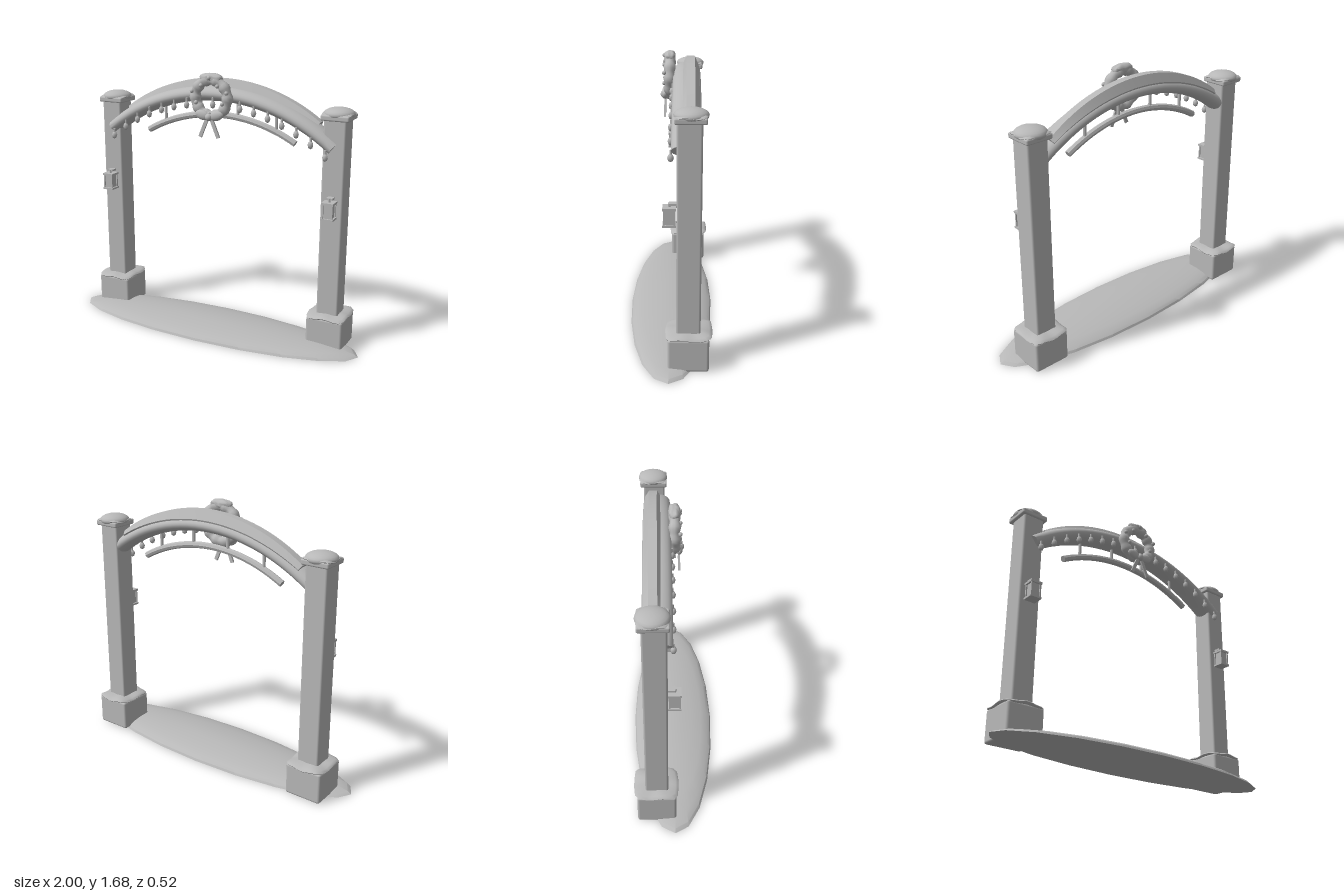
import * as THREE from 'three';
import { toCreasedNormals } from 'three/addons/utils/BufferGeometryUtils.js';
import { RoundedBoxGeometry } from 'three/addons/geometries/RoundedBoxGeometry.js';

const grey = new THREE.MeshStandardMaterial({ color: 0xb8b8b8 });
grey.name = 'plainGrey';

const ARCH_Y = 0.3; // centre height of the beam's circle

function add(parent, name, geometry, x = 0, y = 0, z = 0) {
  const mesh = new THREE.Mesh(geometry, grey);
  mesh.name = name;
  mesh.position.set(x, y, z);
  parent.add(mesh);
  return mesh;
}

// Capped bar bent along a circle in the xy plane; height may taper to the ends
function archBar(R, halfAngle, hy, hz, sides, taper = 1) {
  const g = new THREE.CylinderGeometry(1, 1, 2, sides, 28);
  const p = g.attributes.position;
  for (let i = 0; i < p.count; i++) {
    const t = p.getY(i), a = t * halfAngle;
    const r = R + p.getX(i) * hy * (1 - (1 - taper) * t * t);
    p.setXYZ(i, r * Math.sin(a), r * Math.cos(a), -p.getZ(i) * hz);
  }
  return toCreasedNormals(g, 0.6);
}

// Snow pillow: a squashed ball pushed towards a square outline with a wavy rim
function pillow(hx, hy, hz, square, wave) {
  const g = new THREE.SphereGeometry(1, 28, 12);
  const p = g.attributes.position;
  for (let i = 0; i < p.count; i++) {
    const x = p.getX(i), y = p.getY(i), z = p.getZ(i);
    const a = Math.atan2(z, x);
    const m = Math.max(Math.abs(Math.cos(a)), Math.abs(Math.sin(a)));
    const k = 1 + square * (1 / m - 1);
    const drop = wave * Math.sin(a * 5) * (x * x + z * z);
    p.setXYZ(i, x * k * hx, y * hy + drop, z * k * hz);
  }
  return toCreasedNormals(g, 1);
}

function lantern() {
  const g = new THREE.Group();
  g.name = 'lantern';
  add(g, 'lanternBase', new THREE.BoxGeometry(0.075, 0.012, 0.075), 0, 0.856);
  add(g, 'lanternGlass', new THREE.BoxGeometry(0.052, 0.09, 0.052), 0, 0.905);
  for (const x of [-0.029, 0.029]) for (const z of [-0.029, 0.029])
    add(g, 'lanternFrame', new THREE.BoxGeometry(0.009, 0.09, 0.009), x, 0.905, z);
  add(g, 'lanternRoof', new THREE.BoxGeometry(0.075, 0.014, 0.075), 0, 0.953);
  add(g, 'lanternHanger', new THREE.CylinderGeometry(0.008, 0.008, 0.025, 8), 0, 0.968);
  add(g, 'lanternBracket', new THREE.BoxGeometry(0.04, 0.012, 0.05), 0, 0.977, -0.022);
  return g;
}

function post(side) {
  const g = new THREE.Group();
  g.name = side > 0 ? 'leftPost' : 'rightPost';
  g.position.x = side * 0.78;
  add(g, 'postBase', new RoundedBoxGeometry(0.235, 0.2, 0.235, 2, 0.015), 0, 0.105, -0.11);
  add(g, 'baseSnow', pillow(0.128, 0.022, 0.135, 0.75, 0.006), 0, 0.207, -0.113);
  add(g, 'postShaft', new RoundedBoxGeometry(0.138, 1.25, 0.138, 2, 0.012), 0, 0.82, -0.11);
  add(g, 'postCap', new RoundedBoxGeometry(0.175, 0.035, 0.175, 2, 0.01), 0, 1.452, -0.115);
  add(g, 'capSnowRim', pillow(0.094, 0.016, 0.09, 0.7, 0.005), 0, 1.468, -0.118);
  add(g, 'capSnow', pillow(0.095, 0.04, 0.095, 0, 0), 0, 1.469, -0.118);
  const l = lantern();
  l.position.z = -0.002;
  g.add(l);
  return g;
}

function wreath() {
  const g = new THREE.Group();
  g.name = 'wreath';
  g.position.set(0, 1.525, 0.01);
  // Lumpy ring
  const ring = new THREE.TorusGeometry(0.11, 0.033, 10, 48);
  const p = ring.attributes.position, c = new THREE.Vector3(), v = new THREE.Vector3();
  for (let i = 0; i < p.count; i++) {
    v.fromBufferAttribute(p, i);
    const a = Math.atan2(v.y, v.x);
    c.set(Math.cos(a) * 0.11, Math.sin(a) * 0.11, 0);
    v.sub(c).multiplyScalar(1 + 0.13 * Math.cos(a * 10)).add(c);
    p.setXYZ(i, v.x, v.y, v.z);
  }
  add(g, 'wreathRing', toCreasedNormals(ring, 1));
  add(g, 'wreathSnow', pillow(0.078, 0.03, 0.035, 0.3, 0.005), 0, 0.122, 0);
  // Berries on the front of the ring
  for (let i = 0; i < 10; i++) {
    const a = (i + 0.5) * Math.PI / 5, r = i % 2 ? 0.095 : 0.125;
    add(g, 'berry', new THREE.SphereGeometry(0.013, 10, 8), Math.cos(a) * r, Math.sin(a) * r, 0.032);
  }
  // Bow with two loops, a knot and two tails
  for (const s of [-1, 1]) {
    const loop = add(g, 'bowLoop', new THREE.SphereGeometry(1, 16, 10), s * 0.047, -0.105, 0.028);
    loop.scale.set(0.05, 0.03, 0.02);
    loop.rotation.z = s * 0.25;
    const tail = add(g, 'bowTail', new THREE.BoxGeometry(0.022, 0.13, 0.012), s * 0.038, -0.182, 0.028);
    tail.rotation.z = s * 0.4;
  }
  add(g, 'bowKnot', new THREE.SphereGeometry(0.024, 14, 10), 0, -0.115, 0.034);
  return g;
}

export function createModel() {
  const model = new THREE.Group();
  model.name = 'winterArchway';

  // Low oval snow mound
  const profile = [[0, 0], [1, 0], [0.975, 0.014], [0.9, 0.028], [0.75, 0.042], [0.5, 0.055], [0.25, 0.063], [0, 0.066]];
  const mound = new THREE.LatheGeometry(profile.map(([x, y]) => new THREE.Vector2(x, y)), 20);
  add(model, 'snowMound', toCreasedNormals(mound.scale(1, 1, 0.262), 0.5));

  const gate = new THREE.Group();
  gate.name = 'gate';
  gate.position.x = -0.008;
  model.add(gate);
  gate.add(post(-1), post(1));

  // Curved beam with its ridge of snow
  add(gate, 'archBeam', archBar(1.24, 0.672, 0.047, 0.083, 24), 0, ARCH_Y, -0.093);
  add(gate, 'beamSnow', archBar(1.275, 0.545, 0.065, 0.05, 6, 0.45), 0, ARCH_Y, -0.117);

  // Lower rail and its struts
  const railR = 1.036, railY = 1.405 - railR;
  add(gate, 'lowerRail', archBar(railR, 0.522, 0.021, 0.021, 8), 0, railY, -0.1);
  for (const x of [-0.39, -0.13, 0.13, 0.39]) {
    const y0 = railY + Math.sqrt(railR ** 2 - x * x);
    const y1 = ARCH_Y + Math.sqrt(1.24 ** 2 - x * x);
    add(gate, 'strut', new THREE.CylinderGeometry(0.01, 0.01, y1 - y0, 8), x, (y0 + y1) / 2, -0.1);
  }

  // String of hanging bulbs along the front of the beam
  for (let i = -8; i <= 8; i++) {
    const x = i * 0.0925;
    const y = ARCH_Y + Math.sqrt(1.192 ** 2 - x * x) - 0.012;
    const bulb = add(gate, 'bulb', new THREE.SphereGeometry(0.018, 8, 4), x, y, -0.008);
    bulb.scale.y = 1.35;
    add(gate, 'bulbSocket', new THREE.CylinderGeometry(0.007, 0.007, 0.03, 6), x, y + 0.03, -0.01);
  }

  gate.add(wreath());
  return model;
}
